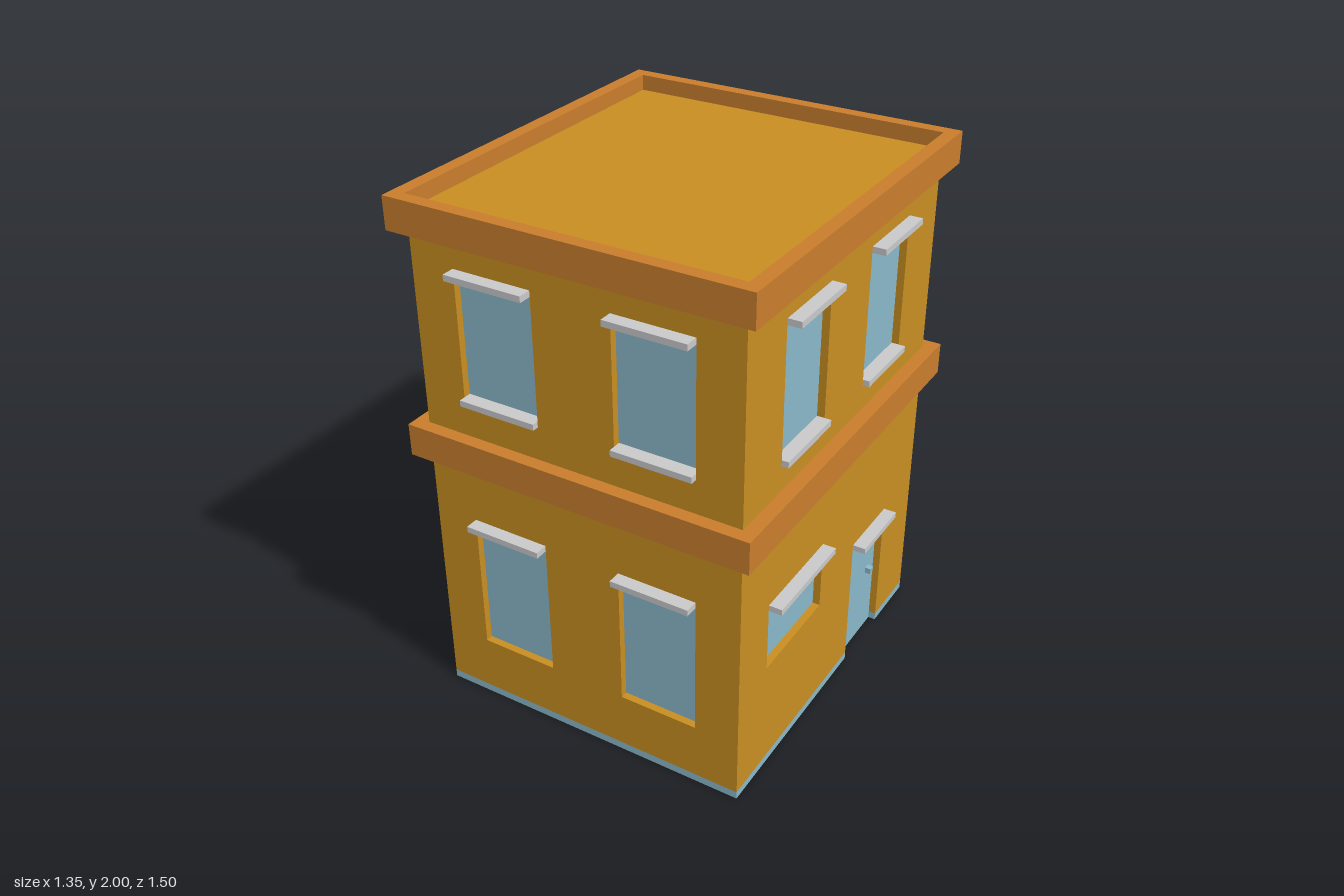
import * as THREE from 'three';

const mat = (name, color) => {
  const m = new THREE.MeshStandardMaterial({ color });
  m.name = name;
  return m;
};

export function createModel() {
  const wallPaint = mat('ochre wall', 0xc88e22);
  const trim = mat('orange trim', 0xc97d2d);
  const blue = mat('pale blue', 0x8ab8c8);
  const stone = mat('light grey', 0xc9c9cb);

  const X = 0.623, Z = 0.70;   // half sizes of the building
  const T = 0.03;              // wall thickness and window recess
  const BASE = 0.03, TOP = 1.94;
  const house = new THREE.Group();
  house.name = 'house';

  // box given by its limits on each axis
  const box = (parent, name, material, x0, x1, y0, y1, z0, z1) => {
    const m = new THREE.Mesh(new THREE.BoxGeometry(x1 - x0, y1 - y0, z1 - z0), material);
    m.position.set((x0 + x1) / 2, (y0 + y1) / 2, (z0 + z1) / 2);
    m.name = name;
    parent.add(m);
  };

  const rect = (C, x0, x1, y0, y1) => {
    const s = new C();
    s.moveTo(x0, y0);
    s.lineTo(x1, y0);
    s.lineTo(x1, y1);
    s.lineTo(x0, y1);
    s.closePath();
    return s;
  };

  // one wall facing local +z, with openings [x0, x1, y0, y1, hasSill]
  function addWall(name, half, dist, angle, windows, door) {
    const g = new THREE.Group();
    g.name = name;
    g.rotation.y = angle;
    house.add(g);

    const pts = [[-half, BASE]];
    if (door) {
      const [a, b, , top] = door;
      pts.push([a, BASE], [a, top], [b, top], [b, BASE]);
    }
    pts.push([half, BASE], [half, TOP], [-half, TOP]);
    const shape = new THREE.Shape(pts.map(p => new THREE.Vector2(...p)));
    windows.forEach(w => shape.holes.push(rect(THREE.Path, ...w.slice(0, 4))));
    const wall = new THREE.Mesh(
      new THREE.ExtrudeGeometry(shape, { depth: T, bevelEnabled: false }), wallPaint);
    wall.position.z = dist - T;
    wall.name = 'wallPanel';
    g.add(wall);

    // plinth strip, interrupted by the doorway
    const runs = door ? [[-half, door[0]], [door[1], half]] : [[-half, half]];
    runs.forEach(([a, b]) => box(g, 'plinth', blue, a, b, 0, BASE, dist - T, dist));

    // panes, lintels and sills
    const back = dist - T;
    const fill = ([a, b, y0, y1, sill], label) => {
      box(g, label, blue, a, b, y0, y1, back - 0.007, back + 0.002);
      box(g, 'lintel', stone, a, b, y1 - 0.023, y1, back, dist + 0.05);
      if (sill) box(g, 'sill', stone, a, b, y0, y0 + 0.023, back, dist + 0.025);
    };
    windows.forEach(w => fill(w, 'windowPane'));
    if (door) {
      fill(door, 'door');
      box(g, 'doorKnob', blue, 0.374, 0.398, 0.278, 0.302, back, back + 0.025);
    }
  }

  // a pair of windows mirrored about the middle of a wall
  const pair = (y0, y1, sill) => [[-0.453, -0.15, y0, y1, sill], [0.15, 0.453, y0, y1, sill]];

  const frontWindows = [...pair(1.28, 1.778, true), ...pair(0.25, 0.80, false)];
  addWall('frontWall', X, Z, 0, frontWindows);
  addWall('backWall', X, Z, Math.PI, frontWindows);
  addWall('doorSideWall', Z - T, X, Math.PI / 2,
    [...pair(1.25, 1.778, true), [-0.505, -0.10, 0.45, 0.725, false]],
    [0.17, 0.45, 0, 0.55, false]);
  addWall('windowSideWall', Z - T, X, -Math.PI / 2,
    [...pair(1.25, 1.778, true), ...pair(0.25, 0.778, false)]);

  // floor and roof
  box(house, 'floorSlab', blue, -X + T, X - T, 0, BASE, -Z + T, Z - T);
  box(house, 'roof', wallPaint, -0.625, 0.625, 1.90, TOP + 0.001, -Z, Z);

  // cornice between the floors
  box(house, 'middleCornice', trim, -0.675, 0.675, 1.03, 1.153, -0.75, 0.75);

  // parapet frame around the roof
  const frame = rect(THREE.Shape, -0.675, 0.675, -0.75, 0.75);
  frame.holes.push(rect(THREE.Path, -0.624, 0.624, -Z, Z));
  const parapet = new THREE.Mesh(
    new THREE.ExtrudeGeometry(frame, { depth: 0.12, bevelEnabled: false }), trim);
  parapet.rotation.x = -Math.PI / 2;
  parapet.position.y = 1.88;
  parapet.name = 'parapet';
  house.add(parapet);

  return house;
}
